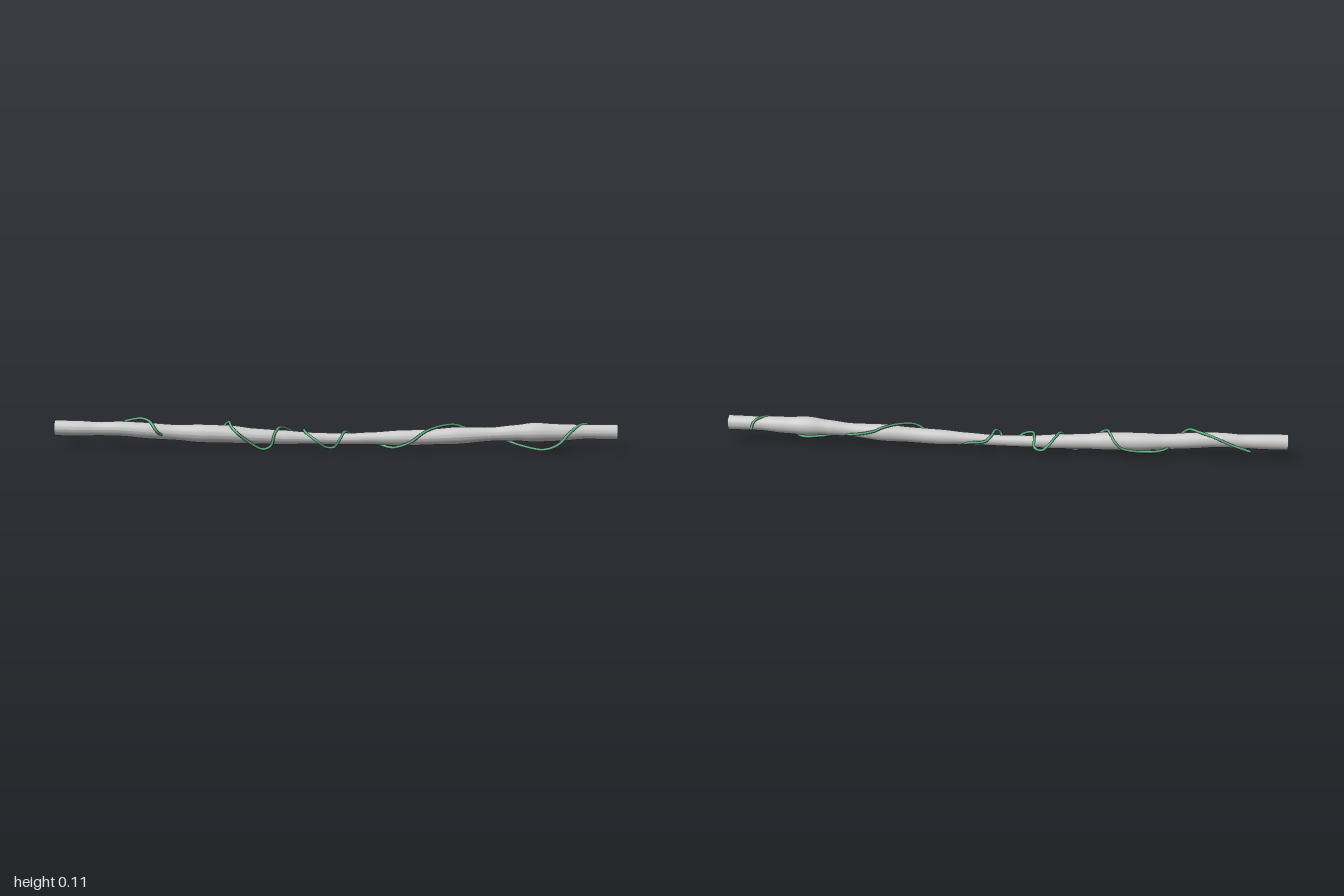
import * as THREE from 'three';

const curveOf = pts => new THREE.CatmullRomCurve3(pts.map(p => new THREE.Vector3(p[0], p[1], p[2])), false, 'centripetal');

// Tube along a curve; each ring is scaled about its centre by radiusAt(x)
function sweep(curve, segments, sides, radiusAt) {
  const geo = new THREE.TubeGeometry(curve, segments, 1, sides, false);
  const pos = geo.attributes.position;
  const v = new THREE.Vector3();
  for (let i = 0; i <= segments; i++) {
    const c = curve.getPointAt(i / segments);
    for (let j = 0; j <= sides; j++) {
      const k = i * (sides + 1) + j;
      v.fromBufferAttribute(pos, k).sub(c).multiplyScalar(radiusAt(c.x)).add(c);
      pos.setXYZ(k, v.x, v.y, v.z);
    }
  }
  return geo;
}

// Branch: x, centre y, centre z, radius
const BRANCH = [
  [-1, 0.071, 0.006, 0.028], [-0.92, 0.07, 0.006, 0.028], [-0.84, 0.069, 0.006, 0.025],
  [-0.76, 0.07, 0.008, 0.027], [-0.67, 0.064, 0.008, 0.029], [-0.58, 0.058, 0.004, 0.028],
  [-0.47, 0.054, 0.003, 0.033], [-0.37, 0.052, 0.003, 0.032], [-0.29, 0.047, 0.005, 0.028],
  [-0.19, 0.043, 0.004, 0.026], [-0.08, 0.04, 0.003, 0.021], [0.04, 0.039, 0.004, 0.02],
  [0.13, 0.042, 0.004, 0.022], [0.24, 0.044, 0.004, 0.028], [0.34, 0.048, 0.004, 0.028],
  [0.43, 0.053, 0.002, 0.031], [0.56, 0.06, 0.003, 0.025], [0.64, 0.065, 0.003, 0.029],
  [0.71, 0.068, 0.003, 0.035], [0.79, 0.068, 0.004, 0.031], [0.89, 0.071, 0.003, 0.026],
  [1, 0.071, 0.004, 0.027],
];

// Vine winding round the branch: x, y, z
const VINE = [
  [-0.87, 0.047, -0.038], [-0.8, 0.07, -0.037], [-0.74, 0.094, -0.031], [-0.69, 0.104, -0.012],
  [-0.655, 0.099, 0.026], [-0.633, 0.075, 0.048], [-0.622, 0.06, 0.04], [-0.57, 0.04, -0.03],
  [-0.5, 0.034, -0.043], [-0.42, 0.05, -0.058], [-0.396, 0.075, -0.062], [-0.38, 0.09, -0.03],
  [-0.365, 0.084, 0.028], [-0.345, 0.068, 0.049], [-0.3, 0.031, 0.041], [-0.255, 0.005, 0.032],
  [-0.225, 0.018, 0.035], [-0.212, 0.06, 0.029], [-0.2, 0.076, 0.008], [-0.185, 0.072, -0.03],
  [-0.165, 0.056, -0.064], [-0.14, 0.036, -0.07], [-0.115, 0.043, -0.066], [-0.11, 0.066, -0.02],
  [-0.1, 0.065, 0.03], [-0.06, 0.043, 0.064], [-0.03, 0.019, 0.052], [0, 0.018, 0.048],
  [0.02, 0.048, 0.062], [0.034, 0.068, 0.03], [0.046, 0.06, -0.015], [0.065, 0.045, -0.028],
  [0.12, 0.035, -0.02], [0.165, 0.019, 0.006], [0.21, 0.015, 0.034], [0.27, 0.038, 0.048],
  [0.32, 0.074, 0.04], [0.375, 0.088, 0.005], [0.43, 0.086, -0.032], [0.465, 0.073, -0.042],
  [0.53, 0.055, -0.03], [0.6, 0.04, 0], [0.67, 0.022, 0.026], [0.74, 0.013, 0.038],
  [0.79, 0.034, 0.049], [0.83, 0.075, 0.04], [0.87, 0.097, 0.005], [0.9, 0.09, -0.028],
  [0.91, 0.063, -0.043],
];

// Smoothly blended branch radius at x
function branchRadius(x) {
  let i = 0;
  while (i < BRANCH.length - 2 && BRANCH[i + 1][0] < x) i++;
  const a = BRANCH[i], b = BRANCH[i + 1];
  return THREE.MathUtils.lerp(a[3], b[3], THREE.MathUtils.smoothstep(x, a[0], b[0]));
}

export function createModel() {
  const model = new THREE.Group();
  model.name = 'vineWrappedBranch';

  // Hollow, open-ended branch
  const branch = new THREE.Mesh(
    sweep(curveOf(BRANCH), 120, 24, branchRadius),
    new THREE.MeshStandardMaterial({ color: 0xcccccc, side: THREE.DoubleSide }));
  branch.geometry.computeVertexNormals();
  branch.name = 'branch';

  // Thin green vine
  const vine = new THREE.Mesh(
    sweep(curveOf(VINE), 400, 8, () => 0.005),
    new THREE.MeshStandardMaterial({ color: 0x5fae82, side: THREE.DoubleSide }));
  vine.name = 'vine';

  model.add(branch, vine);
  return model;
}
